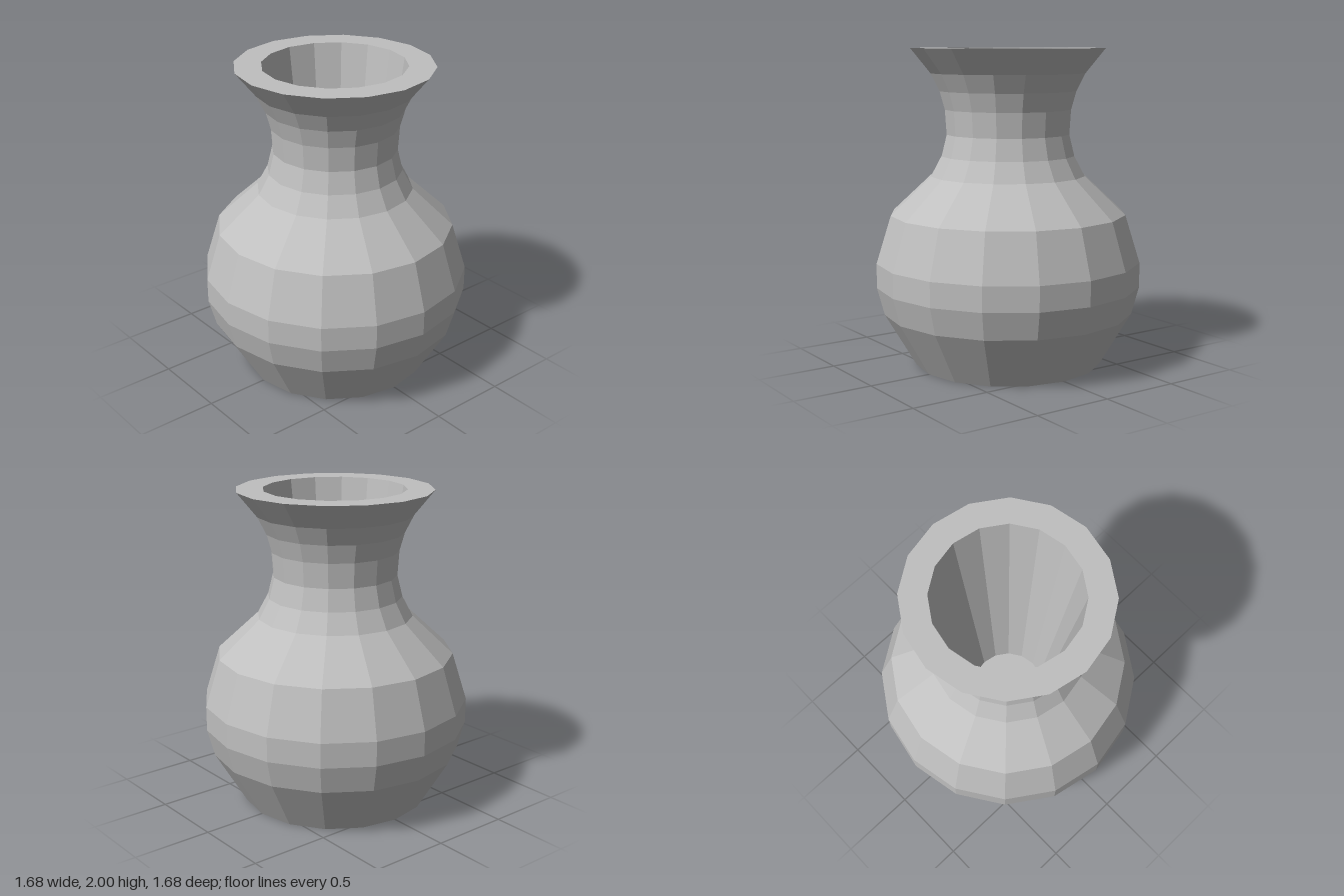
import * as THREE from 'three';

const SIDES = 16;

export function createModel() {
  const vase = new THREE.Group();
  vase.name = 'vase';
  const clay = new THREE.MeshStandardMaterial({ color: 0xbfbfbf });
  clay.name = 'grey clay';
  clay.flatShading = true;

  const add = (name, geometry) => {
    const mesh = new THREE.Mesh(geometry, clay);
    mesh.name = name;
    vase.add(mesh);
    return mesh;
  };
  // Faceted surface of revolution from [radius, height] pairs
  const turned = (name, profile) =>
    add(name, new THREE.LatheGeometry(profile.map(([r, y]) => new THREE.Vector2(r, y)), SIDES));
  // Flat disc with a corner on each axis, facing up or down
  const disc = (name, radius, y, up) => {
    const mesh = add(name, new THREE.CircleGeometry(radius, SIDES));
    mesh.rotation.x = up ? -Math.PI / 2 : Math.PI / 2;
    mesh.position.y = y;
  };

  // Outer belly, neck and flared lip
  turned('body', [
    [0.595, 0], [0.793, 0.335], [0.84, 0.51], [0.84, 0.665], [0.747, 0.965],
    [0.49, 1.205], [0.423, 1.33], [0.39, 1.465], [0.4, 1.62], [0.432, 1.735],
    [0.487, 1.845], [0.612, 2],
  ]);
  // Flat top ring and tapering hollow
  turned('rim', [[0.612, 2], [0.445, 2]]);
  turned('innerWall', [[0.445, 2], [0.235, 0.45]]);
  disc('innerFloor', 0.235, 0.45, true);
  disc('base', 0.595, 0, false);

  return vase;
}
